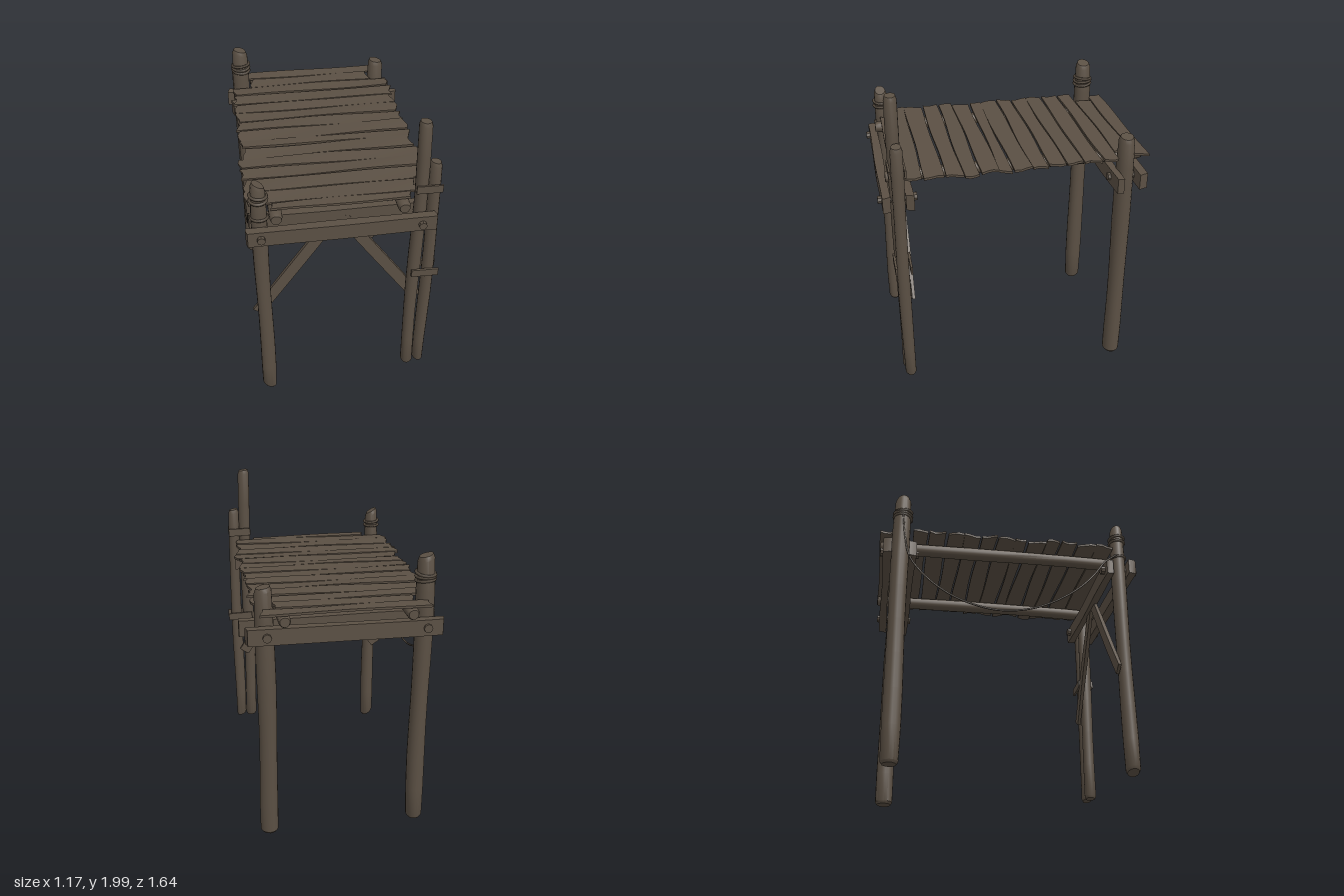
import * as THREE from 'three';
import { toCreasedNormals } from 'three/addons/utils/BufferGeometryUtils.js';

const wood = new THREE.MeshStandardMaterial({ color: 0x5b5044 });
wood.name = 'weathered wood';
const ropeMat = new THREE.MeshStandardMaterial({ color: 0x51473c });
ropeMat.name = 'old rope';

function add(group, name, geometry, material = wood) {
  const mesh = new THREE.Mesh(geometry, material);
  mesh.name = name;
  group.add(mesh);
  return mesh;
}

// Moves every vertex by a rule, then rebuilds normals with sharp edges
function shape(geometry, rule) {
  const p = geometry.attributes.position;
  const v = new THREE.Vector3();
  for (let i = 0; i < p.count; i++) {
    v.fromBufferAttribute(p, i);
    rule(v);
    p.setXYZ(i, v.x, v.y, v.z);
  }
  geometry.computeVertexNormals();
  return toCreasedNormals(geometry, 0.6);
}

// Round log along y with worn ends and a slightly uneven surface
function log(r, y0, y1, seed, slantTop = 0.02, slantBottom = 0.005) {
  const profile = [[0, y0], [r * 0.78, y0], [r * 0.97, y0 + 0.015]];
  for (let i = 1; i < 8; i++) profile.push([r, y0 + ((y1 - y0) * i) / 8]);
  profile.push([r * 0.93, y1 - 0.025], [r * 0.75, y1], [0, y1]);
  const g = new THREE.LatheGeometry(profile.map(([x, y]) => new THREE.Vector2(x, y)), 16);
  return shape(g, (v) => {
    const a = Math.atan2(v.z, v.x);
    const k = 1 + 0.04 * Math.sin(v.y * 6 + seed) + 0.03 * Math.sin(3 * a + seed);
    if (v.y > y1 - 0.1) v.y += (slantTop * (-v.x / r - 1)) / 2;
    if (v.y < y0 + 0.1) v.y += (slantBottom * (1 - v.x / r)) / 2;
    v.x = v.x * k + 0.004 * Math.sin(v.y * 4 + seed);
    v.z = v.z * k + 0.004 * Math.cos(v.y * 3 + seed);
  });
}

// Board with wavy edges and ragged ends
function board(w, h, d, seed, rough) {
  return shape(new THREE.BoxGeometry(w, h, d, 12, 1, 3), (v) => {
    const end = Math.abs(v.x) > w / 2 - 0.001 ? 1 : 0;
    const side = Math.sign(v.x);
    v.x += end * rough * 1.6 * Math.sin(v.z * 40 + seed * 2.3 + side);
    v.z += rough * 0.5 * Math.sin(v.x * 7 + seed * 1.7 + Math.sign(v.z));
    v.y += rough * 0.4 * Math.sin(v.x * 5 + seed * 3.1 + v.z * 15);
  });
}

export function createModel() {
  const model = new THREE.Group();
  model.name = 'woodenPlatform';

  // Upright posts: name, x, z, radius, bottom, top, top slant, bottom slant
  [
    ['frontRightPost', -0.485, 0.705, 0.045, 0.01, 1.70, 0.05, 0.04],
    ['frontLeftPost', 0.43, 0.705, 0.039, 0.1, 2.0, 0.01, 0.01],
    ['sparePost', 0.513, 0.7, 0.037, 0.1, 1.73, 0.015, 0.02],
    ['backRightPost', -0.488, -0.69, 0.054, 0.01, 1.775, 0.03, 0.005],
    ['backLeftPost', 0.435, -0.69, 0.055, 0.01, 1.63, 0.02, 0.005],
  ].forEach(([name, x, z, r, y0, y1, top, bottom], i) => {
    add(model, name, log(r, y0, y1, i * 1.9, top, bottom)).position.set(x, 0, z);
  });

  // Paired cross beams clamping the posts: x range, z centre
  [
    [-0.56, 0.51, 0.772, 0.052],
    [-0.55, 0.51, 0.636, 0.045],
    [-0.58, 0.55, -0.773, 0.048],
    [-0.56, 0.57, -0.62, 0.045],
  ].forEach(([x0, x1, z, depth], i) => {
    add(model, 'crossBeam', board(x1 - x0, 0.098, depth, i, 0.006))
      .position.set((x0 + x1) / 2, 1.36, z);
  });

  // Bolts through the beams
  for (const [z, half] of [[0.703, 0.115], [-0.697, 0.118]]) {
    for (const x of [-0.485, 0.433]) {
      const bolt = add(model, 'bolt', toCreasedNormals(
        new THREE.CylinderGeometry(0.024, 0.026, half * 2, 8), 0.6));
      bolt.rotation.x = Math.PI / 2;
      bolt.position.set(x, 1.36, z);
    }
  }

  // Round stringers beneath the deck
  for (const x of [-0.392, 0.335]) {
    const stringer = add(model, 'stringer', log(0.038, -0.79, 0.79, x * 9, 0, 0));
    stringer.rotation.x = Math.PI / 2;
    stringer.position.set(x, 1.456, -0.03);
  }

  // Deck planks: z range, x range
  [
    [-0.822, -0.737, -0.50, 0.46],
    [-0.73, -0.632, -0.42, 0.385],
    [-0.625, -0.532, -0.545, 0.495],
    [-0.518, -0.41, -0.55, 0.505],
    [-0.40, -0.303, -0.545, 0.49],
    [-0.297, -0.2, -0.545, 0.495],
    [-0.19, -0.093, -0.55, 0.505],
    [-0.087, 0.026, -0.545, 0.51],
    [0.033, 0.1, -0.545, 0.51],
    [0.109, 0.215, -0.53, 0.50],
    [0.224, 0.315, -0.56, 0.525],
    [0.322, 0.422, -0.56, 0.51],
    [0.433, 0.547, -0.545, 0.495],
    [0.553, 0.66, -0.55, 0.495],
    [0.666, 0.722, -0.42, 0.385],
  ].forEach(([z0, z1, x0, x1], i) => {
    const plank = add(model, 'deckPlank', board(x1 - x0, 0.014, z1 - z0, i + 1, 0.008));
    plank.position.set((x0 + x1) / 2, 1.501, (z0 + z1) / 2);
    plank.rotation.x = 0.03 * Math.sin(i * 2.1);
    plank.rotation.y = 0.008 * Math.sin(i * 3.7);
  });

  // Diagonal braces of the front frame
  for (const [x0, x1] of [[-0.05, -0.525], [0.0, 0.47]]) {
    const y0 = 1.35, y1 = 0.66;
    const brace = add(model, 'brace',
      board(Math.hypot(x1 - x0, y1 - y0), 0.072, 0.022, x0, 0.003));
    brace.position.set((x0 + x1) / 2, (y0 + y1) / 2, 0.65);
    brace.rotation.z = Math.atan2(y0 - y1, x0 - x1);
  }

  // Cleats tying the spare post to its neighbour
  for (const [y, x0, x1] of [[1.568, 0.395, 0.553], [0.935, 0.402, 0.573]]) {
    for (const z of [0.656, 0.746]) {
      const cleat = add(model, 'cleat', board(x1 - x0, 0.05, 0.014, y, 0.003));
      cleat.position.set((x0 + x1) / 2, y, z);
      cleat.rotation.z = -0.03;
    }
  }

  // Rope lashings on the right-hand posts
  for (const [x, z, r, y] of [
    [-0.488, -0.69, 0.056, 1.655], [-0.488, -0.69, 0.056, 1.635],
    [-0.488, -0.69, 0.056, 1.615], [-0.485, 0.705, 0.048, 1.6],
    [-0.485, 0.705, 0.048, 1.57], [-0.485, 0.705, 0.048, 1.45],
  ]) {
    const lashing = add(model, 'ropeLashing', new THREE.TorusGeometry(r, 0.009, 6, 20), ropeMat);
    lashing.position.set(x, y, z);
    lashing.rotation.set(Math.PI / 2 + 0.12 * Math.sin(y * 90), 0.1 * Math.sin(y * 50), 0);
  }

  // Slack rope slung along the right side
  const path = new THREE.CatmullRomCurve3([
    [1.62, -0.69], [1.45, -0.67], [1.31, -0.635], [1.17, -0.52], [1.06, -0.36],
    [1.0, -0.18], [0.988, -0.06], [1.01, 0.1], [1.08, 0.27], [1.19, 0.43],
    [1.30, 0.535], [1.39, 0.6], [1.45, 0.68],
  ].map(([y, z]) => new THREE.Vector3(-0.543, y, z)));
  add(model, 'slackRope', new THREE.TubeGeometry(path, 60, 0.006, 6), ropeMat);

  return model;
}
